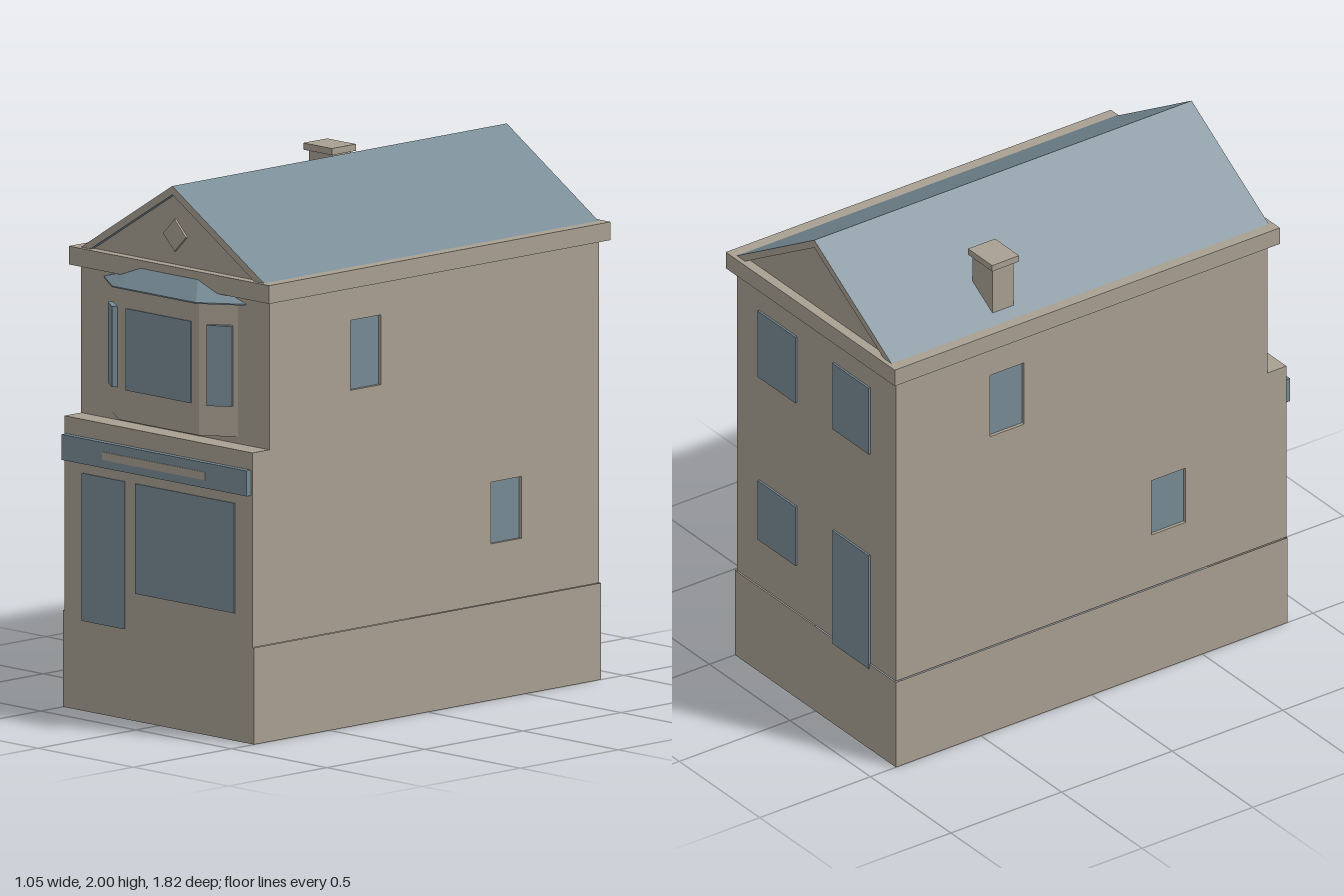
import * as THREE from 'three';
import { ConvexGeometry } from 'three/addons/geometries/ConvexGeometry.js';

export function createModel() {
  const house = new THREE.Group();
  house.name = 'townhouse';

  const wall = new THREE.MeshStandardMaterial({ color: 0xa89f91, side: THREE.DoubleSide });
  wall.name = 'stone wall';
  const slate = new THREE.MeshStandardMaterial({ color: 0x778a94 });
  slate.name = 'slate blue';

  const add = (name, geometry, material) => {
    const mesh = new THREE.Mesh(geometry, material);
    mesh.name = name;
    house.add(mesh);
    return mesh;
  };
  // Box given by its limits on each axis
  const box = (name, material, [x0, x1], [y0, y1], [z0, z1]) => {
    const g = new THREE.BoxGeometry(x1 - x0, y1 - y0, z1 - z0);
    g.translate((x0 + x1) / 2, (y0 + y1) / 2, (z0 + z1) / 2);
    return add(name, g, material);
  };
  const outline = (points) => new THREE.Shape(points.map(([x, y]) => new THREE.Vector2(x, y)));
  const extrude = (shape, depth) => new THREE.ExtrudeGeometry(shape, { depth, bevelEnabled: false });

  // Plinth: a skirt open at top and bottom
  const skirt = new THREE.BoxGeometry(1, 0.36, 1.77);
  const faces = Array.from(skirt.index.array);
  skirt.setIndex([...faces.slice(0, 12), ...faces.slice(24)]);
  skirt.clearGroups();
  skirt.translate(0, 0.18, 0);
  add('plinth', skirt, wall);

  // Body: stepped side profile, a core with a pierced skin on each side
  const profile = (windows) => {
    const shape = outline([
      [-0.885, 0.36], [0.88, 0.36], [0.88, 1.64], [-0.8, 1.64], [-0.8, 1.085], [-0.885, 1.085],
    ]);
    for (const [z0, z1, y0, y1] of windows) {
      shape.holes.push(outline([[-z0, y0], [-z0, y1], [-z1, y1], [-z1, y0]]));
    }
    return shape;
  };
  const slab = (name, windows, x0, x1) => {
    const g = extrude(profile(windows), x1 - x0);
    g.rotateY(Math.PI / 2);
    g.translate(x0, 0, 0);
    add(name, g, wall);
  };
  const core = 0.477, skin = 0.493;
  slab('body', [], -core, core);
  const sideWindows = {
    left: [[0.23, 0.385, 1.25, 1.51], [-0.485, -0.33, 0.58, 0.81]],
    right: [[-0.455, -0.3, 1.25, 1.51], [0.275, 0.43, 0.58, 0.81]],
  };
  slab('leftWall', sideWindows.left, core, skin);
  slab('rightWall', sideWindows.right, -skin, -core);
  for (const [side, list] of Object.entries(sideWindows)) {
    const xs = side === 'left' ? [core, core + 0.003] : [-core - 0.003, -core];
    for (const [z0, z1, y0, y1] of list) box(side + 'Window', slate, xs, [y0, y1], [z0, z1]);
  }

  // Shop front
  const front = [0.885, 0.889];
  box('shopDoor', slate, [-0.4, -0.175], [0.335, 0.885], front);
  box('shopWindow', slate, [-0.12, 0.4], [0.475, 0.885], front);
  box('signBoard', slate, [-0.485, 0.485], [0.925, 1.02], [0.88, 0.908]);
  box('signStripe', wall, [-0.27, 0.27], [0.955, 0.985], [0.908, 0.911]);

  // Back windows and door
  const back = [-0.888, -0.88];
  box('backWindow', slate, [0.12, 0.355], [1.25, 1.53], back);
  box('backWindow', slate, [-0.335, -0.11], [1.25, 1.53], back);
  box('backWindow', slate, [0.12, 0.355], [0.56, 0.81], back);
  box('backDoor', slate, [-0.335, -0.11], [0.34, 0.82], back);

  // Bay window
  const bay = extrude(outline([[-0.33, -0.79], [-0.33, -0.8], [-0.21, -0.883], [0.21, -0.883], [0.33, -0.8], [0.33, -0.79]]), 0.5);
  bay.rotateX(-Math.PI / 2);
  bay.translate(0, 1.11, 0);
  add('bay', bay, wall);
  box('bayWindow', slate, [-0.17, 0.17], [1.225, 1.53], [0.883, 0.887]);
  for (const s of [-1, 1]) {
    const pane = add('baySideWindow', new THREE.BoxGeometry(0.095, 0.3, 0.03), slate);
    pane.position.set(s * 0.278, 1.375, 0.842);
    pane.rotation.y = s * Math.atan2(0.12, 0.083) * 0.63;
  }
  const roofPoints = [];
  for (const s of [-1, 1]) {
    for (const [x, y, z] of [
      [0.375, 1.605, 0.8], [0.375, 1.61, 0.8], [0.22, 1.605, 0.908], [0.22, 1.61, 0.908],
      [0.15, 1.675, 0.8], [0.15, 1.675, 0.832],
    ]) roofPoints.push(new THREE.Vector3(s * x, y, z));
  }
  add('bayRoof', new ConvexGeometry(roofPoints), slate);

  // Cornice, roof with pale rake boards, recessed gables
  box('cornice', wall, [-0.525, 0.525], [1.637, 1.705], [-0.908, 0.832]);
  const roof = extrude(outline([[-0.48, 1.705], [-0.43, 1.705], [0, 1.968], [0.43, 1.705], [0.48, 1.705], [0, 2]]), 1.705);
  roof.translate(0, 0, -0.89);
  add('roof', roof, [wall, slate]);
  const gable = extrude(outline([[-0.431, 1.704], [0.431, 1.704], [0, 1.969]]), 1.665);
  gable.translate(0, 0, -0.87);
  add('gables', gable, wall);
  const diamond = extrude(outline([[-0.06, 1.815], [0, 1.755], [0.06, 1.815], [0, 1.875]]), 0.009);
  diamond.translate(0, 0, 0.795);
  add('gableDiamond', diamond, wall);

  // Chimney
  box('chimneyStack', wall, [-0.438, -0.315], [1.7, 1.92], [-0.403, -0.308]);
  box('chimneyCap', wall, [-0.455, -0.305], [1.92, 1.945], [-0.417, -0.295]);

  return house;
}
